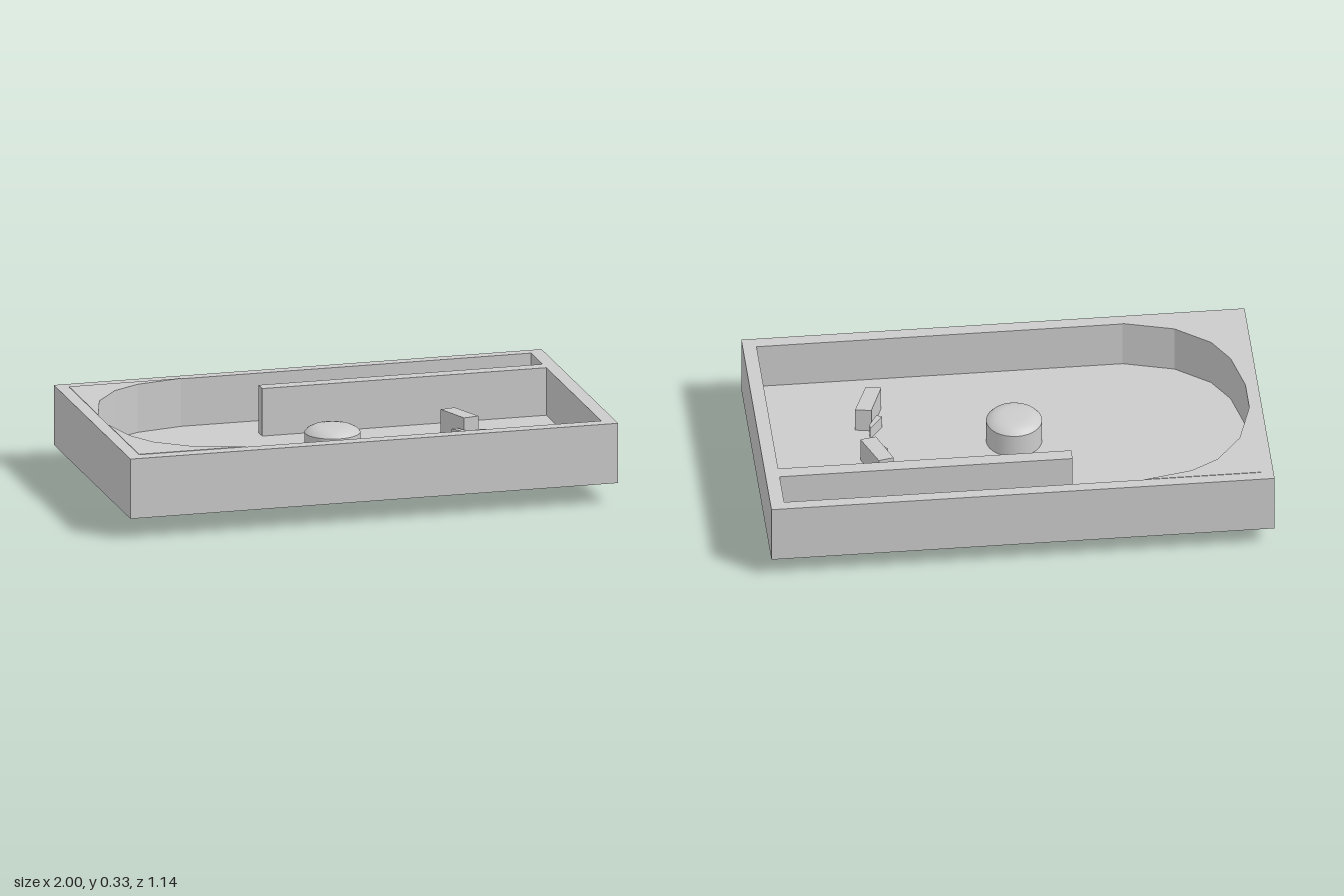
import * as THREE from 'three';

const BOTTOM = 0.085, FLOOR = 0.135, RIM = 0.33;
const material = new THREE.MeshStandardMaterial({ color: 0xcccccc });

const toShape = (pts) => new THREE.Shape(pts.map(([x, z]) => new THREE.Vector2(x, z)));

// Upright prism over an outline given as [x, z] points
function prism(name, shape, y0, y1) {
  const geometry = new THREE.ExtrudeGeometry(shape, { depth: y1 - y0, bevelEnabled: false });
  geometry.rotateX(Math.PI / 2).translate(0, y1, 0);
  const mesh = new THREE.Mesh(geometry, material);
  mesh.name = name;
  return mesh;
}

const rect = (x0, z0, x1, z1) => [[x0, z0], [x1, z0], [x1, z1], [x0, z1]];

export function createModel() {
  const group = new THREE.Group();
  group.name = 'tray';

  // Floor slab and rectangular rim
  group.add(prism('floor', toShape(rect(-1, -0.57, 1, 0.57)), BOTTOM, FLOOR));
  const rim = toShape(rect(-1, -0.57, 1, 0.57));
  rim.holes.push(toShape(rect(-0.95, -0.525, 0.945, 0.517)));
  group.add(prism('rim', rim, FLOOR, RIM));

  // Curved corner fillers at the rounded end
  const corners = {
    backCorner: [[-0.95, -0.525], [-0.49, -0.525], [-0.68, -0.485], [-0.79, -0.42], [-0.89, -0.29], [-0.95, -0.09]],
    frontCorner: [[-0.95, 0.517], [-0.51, 0.517], [-0.71, 0.46], [-0.845, 0.355], [-0.91, 0.24], [-0.95, 0.06]],
  };
  for (const [name, pts] of Object.entries(corners)) {
    group.add(prism(name, toShape(pts), FLOOR, RIM + 0.002));
  }

  // Lane divider
  group.add(prism('divider', toShape(rect(-0.22, -0.355, 0.945, -0.3)), FLOOR, RIM));

  // Mirrored pairs of angled blocks
  const block = [[0.47, -0.147], [0.53, -0.16], [0.588, -0.012], [0.525, 0]];
  const wedge = [[0.48, -0.02], [0.502, -0.03], [0.535, 0.03], [0.535, 0.055]];
  for (const side of ['back', 'front']) {
    const place = (pts) => toShape(pts.map(([x, z]) => [x, side === 'back' ? z : 0.175 - z]));
    group.add(prism(side + 'Block', place(block), FLOOR, 0.235));
    group.add(prism(side + 'Wedge', place(wedge), FLOOR, 0.188));
  }

  // Round post passing through the floor, with a domed cap
  const post = new THREE.Mesh(new THREE.CylinderGeometry(0.111, 0.111, 0.234, 32), material);
  post.name = 'post';
  post.position.set(-0.03, 0.117, 0.055);
  const dome = [[0.111, 0.234], [0.1, 0.246], [0.08, 0.256], [0.052, 0.262], [0, 0.262]];
  const cap = new THREE.Mesh(
    new THREE.LatheGeometry(dome.map(([r, y]) => new THREE.Vector2(r, y)), 32), material);
  cap.name = 'postCap';
  cap.position.set(-0.03, 0, 0.055);
  group.add(post, cap);

  return group;
}
